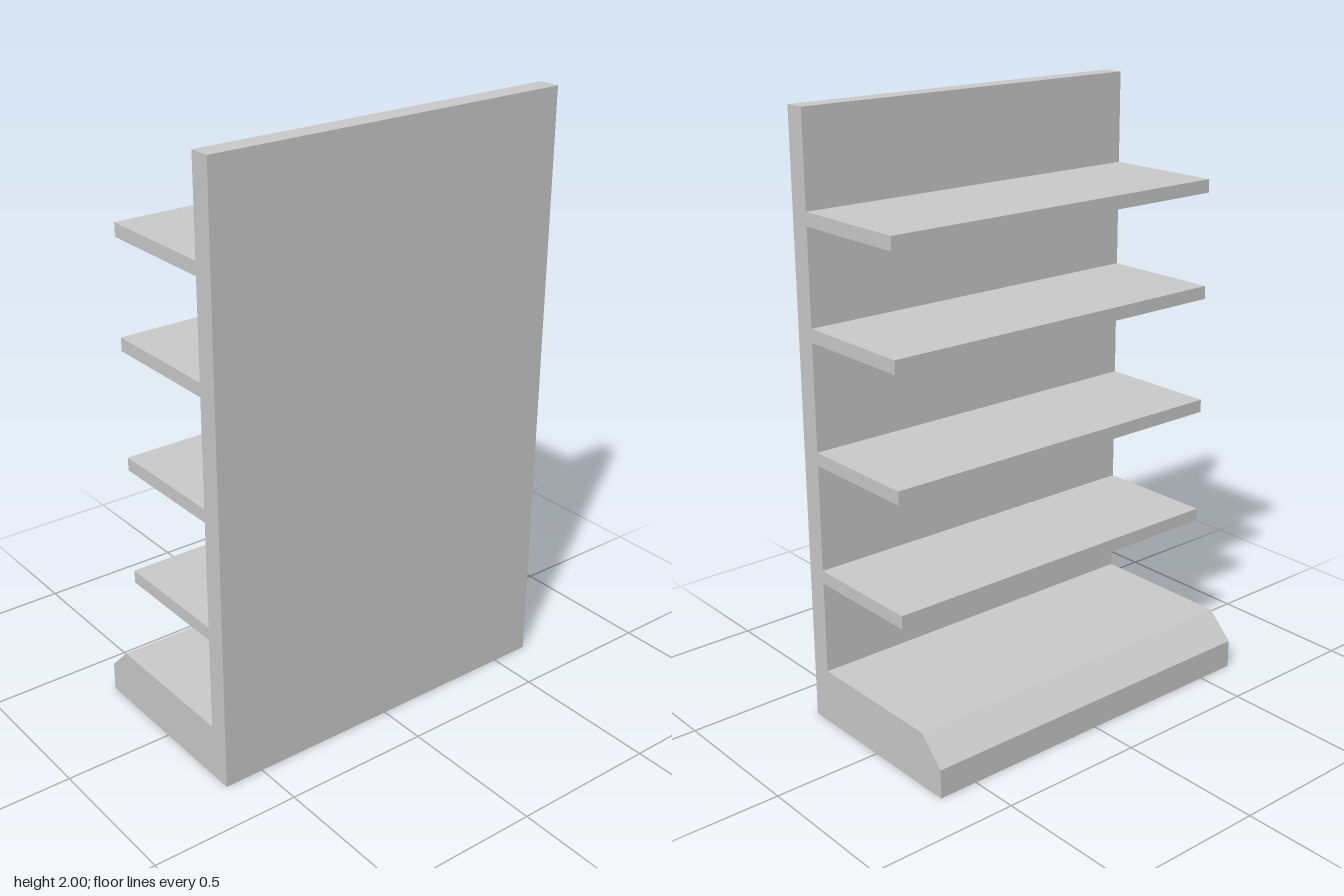
import * as THREE from 'three';

const LENGTH = 1.27;      // along z
const PANEL_X = 0.262;    // inner face of the upright panel
const OUTER_X = 0.333;

export function createModel() {
  const group = new THREE.Group();
  group.name = 'shelfUnit';
  const material = new THREE.MeshStandardMaterial({ color: 0xcccccc, flatShading: true });

  const add = (name, geometry) => {
    const mesh = new THREE.Mesh(geometry, material);
    mesh.name = name;
    group.add(mesh);
  };

  // Upright panel and chamfered base share one side profile
  const profile = new THREE.Shape([
    [-OUTER_X, 0], [OUTER_X, 0], [OUTER_X, 2], [PANEL_X, 2],
    [PANEL_X, 0.185], [-0.245, 0.185], [-OUTER_X, 0.097],
  ].map(([x, y]) => new THREE.Vector2(x, y)));
  const frame = new THREE.ExtrudeGeometry(profile, { depth: LENGTH, bevelEnabled: false });
  frame.translate(0, 0, -LENGTH / 2);
  add('panelAndBase', frame);

  // Shelves, each butting against the panel
  const shelfEdge = -0.159;
  const width = PANEL_X - shelfEdge;
  [0.52, 0.92, 1.317, 1.673].forEach((y, i) => {
    const shelf = new THREE.BoxGeometry(width, 0.044, LENGTH);
    shelf.translate(shelfEdge + width / 2, y, 0);
    add(`shelf${i + 1}`, shelf);
  });

  return group;
}
